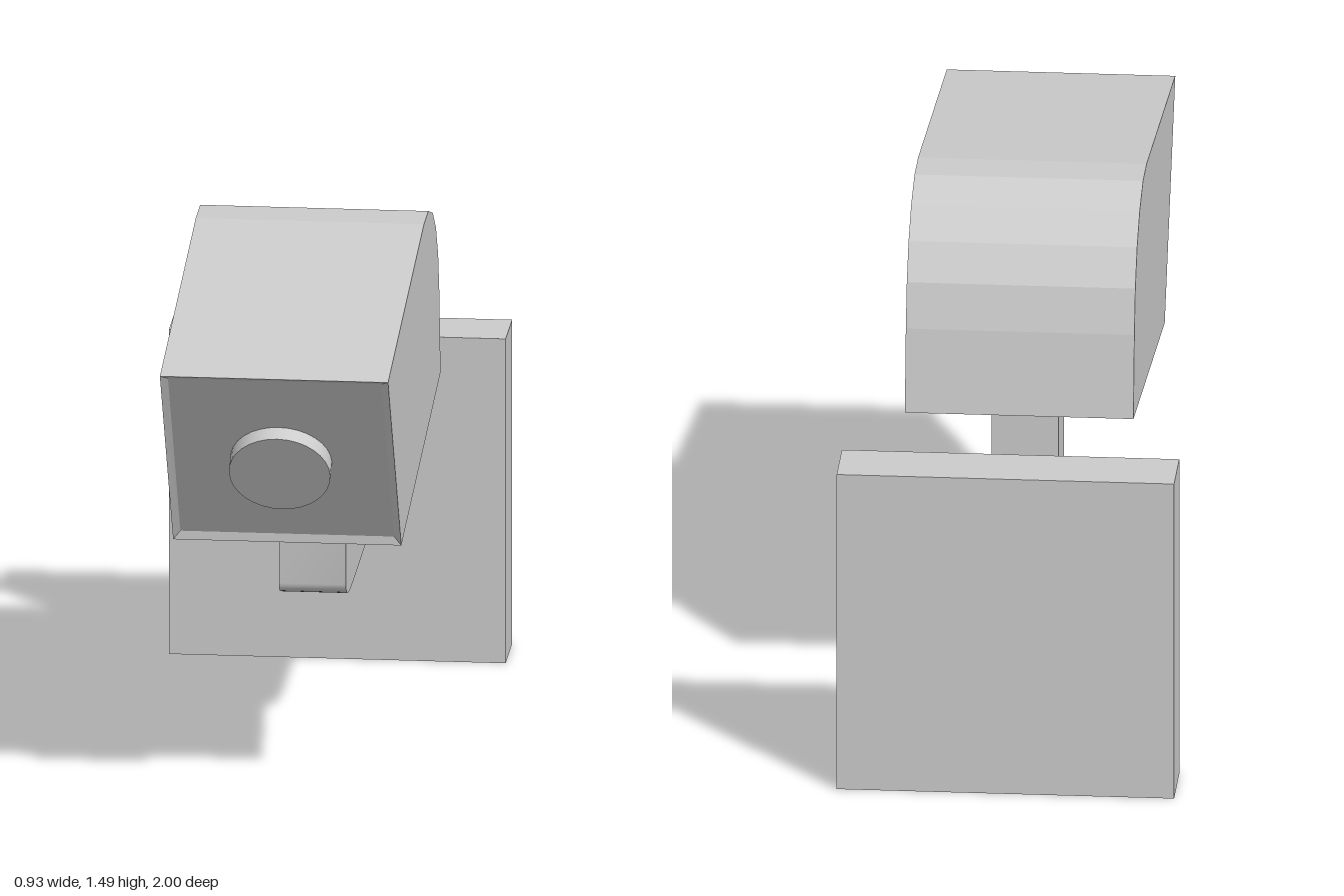
import * as THREE from 'three';
import { toCreasedNormals } from 'three/addons/utils/BufferGeometryUtils.js';

const material = new THREE.MeshStandardMaterial({ color: 0xcccccc });

function part(name, geometry) {
  const mesh = new THREE.Mesh(geometry, material);
  mesh.name = name;
  return mesh;
}

// Convex polygons (corners counter-clockwise from outside) to a flat-faced geometry
function facesToGeometry(faces) {
  const positions = [];
  for (const f of faces) {
    for (let i = 1; i < f.length - 1; i++) positions.push(...f[0], ...f[i], ...f[i + 1]);
  }
  const geometry = new THREE.BufferGeometry();
  geometry.setAttribute('position', new THREE.Float32BufferAttribute(positions, 3));
  geometry.computeVertexNormals();
  return geometry;
}

// Tilted housing with a rounded back and a shallow sloped recess in the front
function housingGeometry() {
  const w = 0.315, iw = 0.295;
  // Side profile as [z, y], from bottom front, round the back, to top front
  const profile = [
    [0.62, 0.76], [-0.506, 0.922], [-0.472, 1.157], [-0.437, 1.28], [-0.373, 1.377],
    [-0.28, 1.447], [-0.157, 1.488], [-0.03, 1.488], [1, 1.34],
  ];
  const at = (x, [z, y]) => [x, y, z];
  const faces = [];
  for (let i = 0; i < profile.length - 1; i++) {
    const a = profile[i], b = profile[i + 1];
    faces.push([at(w, a), at(-w, a), at(-w, b), at(w, b)]);
  }
  // Side walls
  faces.push(profile.map((p) => at(w, p)));
  faces.push(profile.map((p) => at(-w, p)).reverse());
  // Front rim and recessed panel
  const ring = (x, lo, hi) => [at(-x, lo), at(x, lo), at(x, hi), at(-x, hi)];
  const outer = ring(w, profile[0], profile[profile.length - 1]);
  const inner = ring(iw, [0.62, 0.785], [0.977, 1.328]);
  for (let i = 0; i < 4; i++) {
    const j = (i + 1) % 4;
    faces.push([outer[i], outer[j], inner[j], inner[i]]);
  }
  faces.push(inner);
  return facesToGeometry(faces);
}

// L-shaped arm with a rounded lower corner, drawn as (z, y) and extruded across x
function armGeometry() {
  const width = 0.185;
  const shape = new THREE.Shape();
  shape.moveTo(-0.85, 0.375);
  shape.lineTo(-0.295, 0.375);
  shape.quadraticCurveTo(-0.105, 0.375, -0.105, 0.425);
  shape.lineTo(-0.105, 0.94);
  shape.lineTo(-0.295, 0.94);
  shape.lineTo(-0.295, 0.56);
  shape.lineTo(-0.85, 0.56);
  shape.closePath();
  const geometry = new THREE.ExtrudeGeometry(shape, { depth: width, bevelEnabled: false, curveSegments: 10 });
  geometry.rotateY(-Math.PI / 2).translate(width / 2, 0, 0);
  return toCreasedNormals(geometry, 0.7);
}

export function createModel() {
  const group = new THREE.Group();
  group.name = 'wallCamera';

  // Wall plate
  const plate = part('wallPlate', new THREE.BoxGeometry(0.93, 0.93, 0.185));
  plate.position.set(0, 0.465, -0.9075);

  // Lens, facing forward and 30 degrees down
  const lens = part('lens', new THREE.CylinderGeometry(0.14, 0.14, 0.1, 32));
  lens.rotation.x = (Math.PI * 2) / 3;
  lens.position.set(0, 1.045, 0.794);

  group.add(plate, part('arm', armGeometry()), part('housing', housingGeometry()), lens);
  return group;
}
